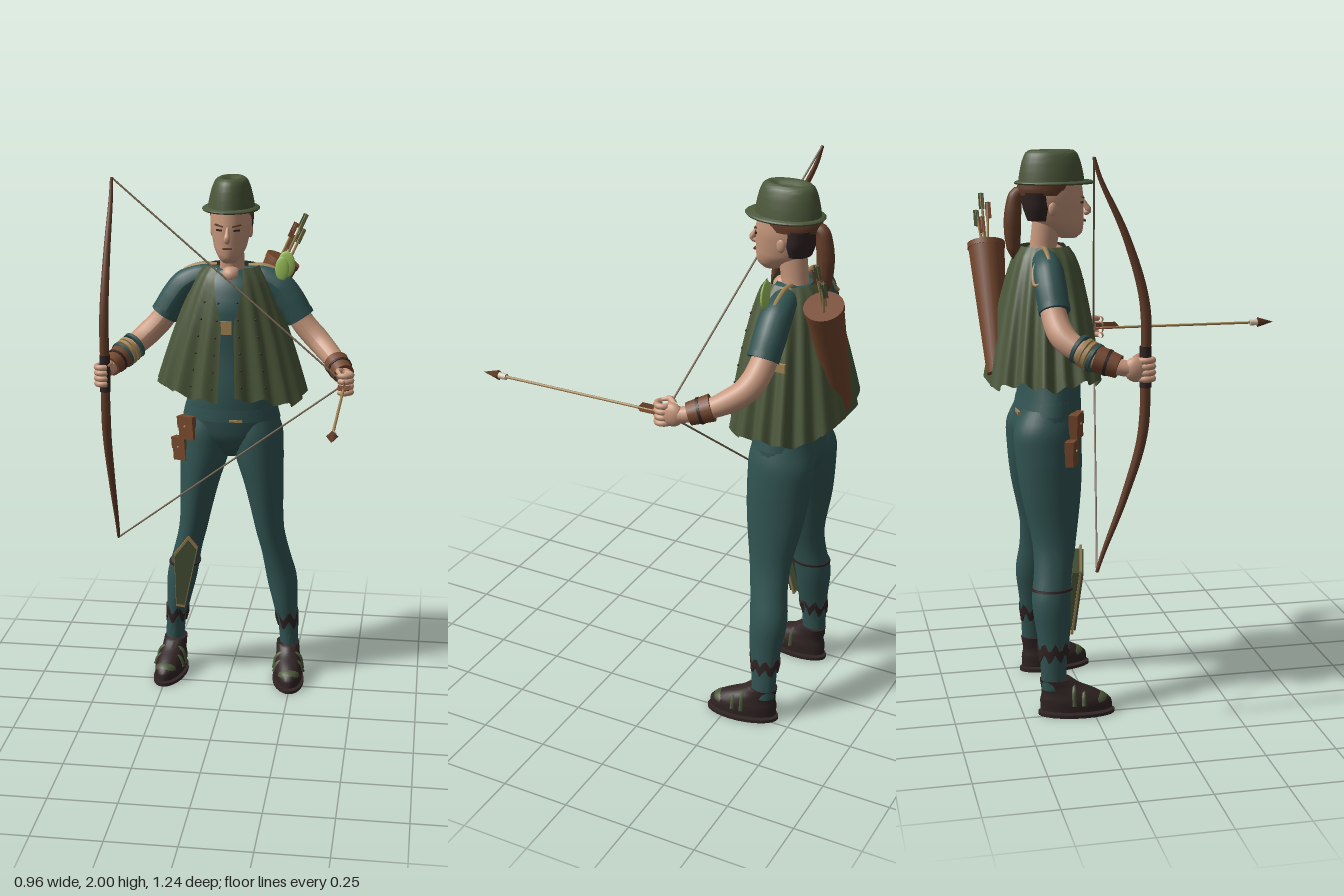
import * as THREE from 'three';
import { toCreasedNormals } from 'three/addons/utils/BufferGeometryUtils.js';

const V = (x, y, z) => new THREE.Vector3(x, y, z);
const mat = (name, color, side = THREE.FrontSide) => {
  const m = new THREE.MeshStandardMaterial({ color, side });
  m.name = name;
  return m;
};

// Smooth stack of horizontal ellipses; rows are [y, centreX, centreZ, radiusX, radiusZ], lowest first
function loft(rows, seg = 28, sub = 4) {
  const centre = new THREE.CatmullRomCurve3(rows.map(r => V(r[1], r[0], r[2])));
  const radius = new THREE.CatmullRomCurve3(rows.map(r => V(r[3], 0, r[4])));
  const n = (rows.length - 1) * sub, pos = [], idx = [];
  for (let i = 0; i <= n; i++) {
    const c = centre.getPoint(i / n), r = radius.getPoint(i / n);
    for (let j = 0; j < seg; j++) {
      const t = j / seg * Math.PI * 2;
      pos.push(c.x + r.x * Math.sin(t), c.y, c.z + r.z * Math.cos(t));
    }
  }
  const end = (n + 1) * seg;
  for (const r of [rows[0], rows[rows.length - 1]]) pos.push(r[1], r[0], r[2]);
  for (let j = 0; j < seg; j++) {
    const k = (j + 1) % seg;
    for (let i = 0; i < n; i++) {
      const a = i * seg + j, b = i * seg + k;
      idx.push(a, b, b + seg, a, b + seg, a + seg);
    }
    idx.push(end, k, j, end + 1, n * seg + j, n * seg + k);
  }
  const g = new THREE.BufferGeometry();
  g.setAttribute('position', new THREE.Float32BufferAttribute(pos, 3));
  g.setIndex(idx);
  return toCreasedNormals(g, 0.9);
}

// Tube along a smooth path whose radius follows a list of values
function limb(points, radii, seg = 16, steps = 28) {
  const curve = new THREE.CatmullRomCurve3(points.map(p => V(...p)));
  const g = new THREE.TubeGeometry(curve, steps, 1, seg), p = g.attributes.position, v = V();
  for (let k = 0; k < p.count; k++) {
    const u = Math.floor(k / (seg + 1)) / steps, f = u * (radii.length - 1);
    const i = Math.min(Math.floor(f), radii.length - 2);
    const r = THREE.MathUtils.lerp(radii[i], radii[i + 1], f - i), c = curve.getPointAt(u);
    v.fromBufferAttribute(p, k).sub(c).multiplyScalar(r).add(c);
    p.setXYZ(k, v.x, v.y, v.z);
  }
  g.computeVertexNormals();
  return g;
}

// Straight rod between two points
function rod(a, b, r0, r1 = r0, seg = 16) {
  const p = V(...a), q = V(...b), d = q.clone().sub(p);
  const g = new THREE.CylinderGeometry(r1, r0, d.length(), seg);
  g.applyQuaternion(new THREE.Quaternion().setFromUnitVectors(V(0, 1, 0), d.normalize()));
  return g.translate(...p.add(q).multiplyScalar(0.5).toArray());
}
const ball = (c, r) => new THREE.SphereGeometry(1, 18, 12).scale(...r).translate(...c);
const box = (c, s) => new THREE.BoxGeometry(...s).translate(...c);

// Point on the pleated cape: t = angle from the front, v = 0 at the collar to 1 at the hem
function capePoint(t, v) {
  const s = Math.sin(t), c = Math.cos(t), w = Math.pow(v, 0.6);
  const fold = 1 + 0.045 * w * Math.sin(t * 17) + 0.02 * w * Math.sin(t * 7 + 1);
  const hem = 1.185 - 0.022 * s + 0.011 * Math.sin(t * 17) + 0.01 * Math.sin(t * 5);
  const rx = 0.1 + 0.182 * Math.pow(v, 0.7), rz = 0.085 + 0.115 * w;
  return V(rx * fold * Math.sign(s) * Math.pow(Math.abs(s), 0.85), 1.668 + (hem - 1.668) * v,
    -0.365 - 0.015 * v + rz * fold * c);
}
function capeGeometry(cols = 170, rows = 16) {
  const pos = [], idx = [];
  for (let i = 0; i <= rows; i++) for (let j = 0; j <= cols; j++) {
    const v = i / rows, a0 = 0.42 - 0.34 * Math.min(1, v * 2.5);
    pos.push(...capePoint(a0 + (Math.PI * 2 - 2 * a0) * j / cols, v).toArray());
    if (i < rows && j < cols) {
      const a = i * (cols + 1) + j, b = a + cols + 1;
      idx.push(a, b, b + 1, a, b + 1, a + 1);
    }
  }
  const g = new THREE.BufferGeometry();
  g.setAttribute('position', new THREE.Float32BufferAttribute(pos, 3));
  g.setIndex(idx);
  g.computeVertexNormals();
  return g;
}

export function createModel() {
  const model = new THREE.Group();
  const teal = mat('teal cloth', 0x315452), green = mat('olive cloth', 0x4b573a, THREE.DoubleSide);
  const skin = mat('skin', 0xc6977c), leather = mat('brown leather', 0x75472d);
  const dark = mat('dark leather', 0x312424), hair = mat('dark brown wood and hair', 0x633d29);
  const tan = mat('tan trim', 0xa48555), leaf = mat('light green leaf', 0x9cc45c, THREE.DoubleSide);
  const cord = mat('cord', 0x7d6c58), pale = mat('pale binding', 0xd6c9ae);
  const add = (name, geo, m, parent = model) => {
    const mesh = new THREE.Mesh(geo, m);
    mesh.name = name;
    parent.add(mesh);
    return mesh;
  };

  // Torso with shirt hem and small fastenings
  add('torso', loft([[0.925, 0, -0.385, 0.035, 0.06], [0.965, 0, -0.382, 0.12, 0.095], [1.03, 0, -0.375, 0.188, 0.118],
    [1.1, 0, -0.362, 0.183, 0.115], [1.2, 0, -0.355, 0.16, 0.11], [1.35, 0, -0.355, 0.14, 0.1],
    [1.5, 0, -0.36, 0.15, 0.108], [1.6, 0, -0.365, 0.14, 0.085], [1.655, 0, -0.37, 0.07, 0.06]]), teal);
  add('shirtHem', loft([[1.083, 0, -0.364, 0.189, 0.12], [1.13, 0, -0.36, 0.178, 0.115]]), teal);
  add('chestBuckle', box([-0.012, 1.45, -0.25], [0.05, 0.05, 0.012]), tan);
  add('sideBuckle', box([0.24, 1.44, -0.43], [0.012, 0.03, 0.035]), tan);
  add('frontPatch', box([0.03, 1.09, -0.243], [0.05, 0.008, 0.008]), tan);
  add('backPatch', box([-0.06, 1.085, -0.48], [0.08, 0.012, 0.008]), tan);

  // Legs, torn cuffs and shoes
  for (const s of [1, -1]) {
    const row = ([y, x, ...r]) => [y, s * x, ...r];
    add('leg', loft([[0.1, 0.235, -0.39, 0.036, 0.045], [0.2, 0.228, -0.39, 0.038, 0.048], [0.3, 0.215, -0.387, 0.048, 0.06],
      [0.42, 0.198, -0.39, 0.06, 0.07], [0.52, 0.176, -0.378, 0.055, 0.07], [0.62, 0.152, -0.37, 0.056, 0.078],
      [0.8, 0.127, -0.375, 0.075, 0.108], [0.92, 0.108, -0.378, 0.094, 0.119], [1.01, 0.098, -0.38, 0.101, 0.121],
      [1.1, 0.09, -0.37, 0.085, 0.095]].map(row)), teal);
    const cuff = loft([[0.218, 0.227, -0.39, 0.042, 0.053], [0.258, 0.221, -0.389, 0.047, 0.059]].map(row), 28, 1);
    const p = cuff.attributes.position;
    for (let i = 0; i < p.count; i++)
      p.setY(i, p.getY(i) + 0.018 * Math.sin(7 * Math.atan2(p.getX(i) - s * 0.224, p.getZ(i) + 0.39)));
    add('tornCuff', cuff, dark);
    const shoe = new THREE.Group();
    shoe.name = 'shoe';
    shoe.position.set(s * 0.237, 0, -0.31);
    shoe.rotation.y = s * 0.12;
    add('sole', loft([[0, 0, 0, 0.062, 0.138], [0.012, 0, 0, 0.062, 0.138]]), dark, shoe);
    add('upper', loft([[0.02, 0, 0, 0.054, 0.13], [0.05, 0, -0.003, 0.056, 0.128], [0.085, 0, -0.025, 0.05, 0.1],
      [0.11, 0, -0.055, 0.046, 0.072], [0.135, 0, -0.075, 0.045, 0.056]]), dark, shoe);
    add('toePatch', ball([0, 0.049, 0.062], [0.045, 0.033, 0.055]), green, shoe);
    for (const [z, h] of [[0.025, 0.094], [-0.01, 0.113]])
      add('shoeStrap', limb([[-0.058, 0.045, z], [-0.042, h - 0.012, z], [0, h, z], [0.042, h - 0.012, z], [0.058, 0.045, z]],
        [0.008, 0.008], 6), green, shoe);
    model.add(shoe);
  }

  // Cape with rivets along its front edges
  add('cape', capeGeometry(), green);
  for (const s of [1, -1]) for (const t of [0.16, 0.5]) for (let i = 0; i < 6; i++) {
    const q = capePoint(s * t, 0.25 + i * 0.13);
    add('rivet', ball([q.x, q.y, q.z + 0.001], [0.004, 0.004, 0.004]), dark);
  }

  // Arms, sleeves and hands
  for (const s of [1, -1]) {
    const m = pts => pts.map(([x, y, z]) => [s * x, y, z]);
    add('sleeve', limb(m([[0.04, 1.63, -0.378], [0.12, 1.618, -0.382], [0.18, 1.585, -0.382], [0.222, 1.53, -0.38], [0.258, 1.472, -0.376]]),
      [0.03, 0.046, 0.055, 0.057, 0.054]), teal);
    add('sleeveHem', rod(...m([[0.25, 1.485, -0.377], [0.261, 1.468, -0.376]]), 0.056, 0.055, 20), teal);
    add('shoulderSeam', limb(m([[0.06, 1.663, -0.382], [0.12, 1.664, -0.382], [0.18, 1.641, -0.382], [0.235, 1.592, -0.381]]),
      [0.009, 0.009], 6), tan);
    add('arm', limb(m([[0.21, 1.55, -0.38], [0.268, 1.452, -0.378], [0.333, 1.385, -0.355], [0.395, 1.335, -0.28], [0.44, 1.3, -0.18], [0.448, 1.295, -0.14]]),
      [0.044, 0.045, 0.046, 0.041, 0.031, 0.026]), skin);
    add('bracer', rod(...m([[0.405, 1.328, -0.26], [0.438, 1.303, -0.19]]), 0.048, 0.04), leather);
    add('bracerBand', rod(...m([[0.42, 1.317, -0.229], [0.424, 1.314, -0.22]]), 0.047, 0.046), dark);
    // Palm with fingers curled around the grip
    add('palm', ball([s * 0.452, 1.295, -0.135], [0.026, 0.043, 0.042]), skin);
    for (let i = 0; i < 4; i++) {
      const f = new THREE.TorusGeometry(0.024, 0.011, 8, 14, 4.6).rotateX(Math.PI / 2).rotateY(s > 0 ? 2.2 : -0.9);
      add('finger', f.translate(s * 0.447, 1.262 + i * 0.021, -0.1), skin);
    }
    add('thumb', limb(m([[0.44, 1.325, -0.14], [0.422, 1.335, -0.11], [0.43, 1.33, -0.085]]), [0.012, 0.012, 0.006], 8, 10), skin);
  }
  // Bands on the bow arm and trim on its sleeve
  [[0.366, 1.358, -0.315, teal], [0.38, 1.347, -0.298, tan], [0.39, 1.339, -0.285, tan], [0.4, 1.332, -0.27, teal]].forEach(([x, y, z, m]) =>
    add('armBand', rod([-x, y, z], [-x - 0.007, y - 0.005, z + 0.009], 0.053, 0.052, 20), m));
  add('sleeveTrim', limb([[-0.245, 1.575, -0.395], [-0.228, 1.555, -0.435], [-0.2, 1.57, -0.438], [-0.172, 1.61, -0.43], [-0.15, 1.645, -0.4]],
    [0.006, 0.006], 6), tan);

  // Head, face and hair
  add('neck', loft([[1.6, 0, -0.375, 0.06, 0.055], [1.66, 0, -0.37, 0.046, 0.048], [1.76, 0, -0.355, 0.045, 0.052]]), skin);
  add('chest', ball([0, 1.635, -0.33], [0.038, 0.035, 0.04]), skin);
  add('head', loft([[1.692, 0, -0.28, 0.022, 0.028], [1.71, 0, -0.287, 0.04, 0.056], [1.745, 0, -0.313, 0.06, 0.088],
    [1.785, 0, -0.325, 0.069, 0.101], [1.84, 0, -0.335, 0.077, 0.11], [1.9, 0, -0.34, 0.075, 0.108]]), skin);
  add('nose', limb([[0, 1.835, -0.232], [0, 1.805, -0.216], [0, 1.784, -0.207], [0, 1.776, -0.224]], [0.004, 0.008, 0.012, 0.008], 10, 12), skin);
  add('mouth', box([0, 1.752, -0.223], [0.034, 0.006, 0.009]), hair);
  for (const s of [1, -1]) {
    const eye = add('eye', box([0, 0, 0], [0.024, 0.007, 0.009]), dark);
    eye.position.set(s * 0.031, 1.818, -0.236);
    eye.rotation.y = s * 0.35;
    const brow = add('eyebrow', box([0, 0, 0], [0.034, 0.005, 0.009]), hair);
    brow.position.set(s * 0.032, 1.835, -0.234);
    brow.rotation.set(0, s * 0.35, s * 0.2);
    add('ear', ball([s * 0.07, 1.8, -0.345], [0.01, 0.025, 0.016]), skin);
  }
  add('hair', loft([[1.845, 0, -0.355, 0.079, 0.1], [1.87, 0, -0.352, 0.081, 0.108], [1.9, 0, -0.345, 0.08, 0.108]]), hair);
  add('shavedHair', loft([[1.755, 0, -0.38, 0.055, 0.045], [1.8, 0, -0.385, 0.074, 0.055], [1.855, 0, -0.39, 0.079, 0.06]]), dark);
  add('ponytail', limb([[0, 1.85, -0.43], [0, 1.85, -0.46], [0, 1.79, -0.475], [0, 1.7, -0.478], [0, 1.61, -0.47]],
    [0.02, 0.026, 0.03, 0.031, 0.029, 0.024, 0.004]), hair);

  // Hat with tapered, creased crown
  add('hatBrim', loft([[1.882, 0, -0.328, 0.104, 0.138], [1.887, 0, -0.328, 0.107, 0.142], [1.893, 0, -0.328, 0.1, 0.133]]), green);
  add('hatCrown', loft([[1.885, 0, -0.338, 0.088, 0.118], [1.92, 0, -0.338, 0.082, 0.113], [1.96, 0, -0.338, 0.072, 0.104],
    [1.988, 0, -0.338, 0.06, 0.092], [1.999, 0, -0.338, 0.042, 0.074], [1.982, 0, -0.338, 0.008, 0.04]]), green);

  // Bow and drawn string
  const tips = [[-0.435, 1.997, -0.27], [-0.435, 0.59, -0.27]], nock = [0.447, 1.29, -0.105];
  add('bow', limb([tips[0], [-0.435, 1.93, -0.25], [-0.437, 1.74, -0.165], [-0.44, 1.52, -0.103], [-0.44, 1.3, -0.1],
    [-0.44, 1.07, -0.11], [-0.437, 0.86, -0.17], [-0.435, 0.65, -0.25], tips[1]],
  [0.006, 0.011, 0.015, 0.018, 0.017, 0.018, 0.015, 0.011, 0.006], 10, 64), hair);
  add('bowGrip', rod([-0.44, 1.23, -0.1], [-0.44, 1.37, -0.1], 0.02), dark);
  for (const t of tips) add('bowString', rod(t, nock, 0.0035, 0.0035, 6), cord);

  // Drawn arrow with tapered vanes
  add('arrowShaft', rod([0.447, 1.29, -0.11], [0.447, 1.29, 0.55], 0.005, 0.005, 8), tan);
  add('arrowBinding', rod([0.447, 1.29, 0.525], [0.447, 1.29, 0.56], 0.012, 0.012, 8), pale);
  add('arrowHead', rod([0.447, 1.29, 0.555], [0.447, 1.29, 0.62], 0.02, 0, 4), hair);
  const vane = new THREE.Shape([[0, 0], [0.07, 0], [0.05, 0.022], [-0.03, 0.022], [-0.03, 0]].map(p => new THREE.Vector2(...p)));
  for (const a of [0, Math.PI / 2, -Math.PI / 2])
    add('arrowFletching', new THREE.ExtrudeGeometry(vane, { depth: 0.003, bevelEnabled: false })
      .translate(0, 0, -0.0015).rotateY(-Math.PI / 2).rotateZ(a).translate(0.447, 1.29, -0.07), leather);

  // Quiver with spare arrows
  add('quiver', rod([-0.03, 1.22, -0.545], [0.172, 1.655, -0.55], 0.038, 0.066, 24), leather);
  add('quiverRim', rod([0.167, 1.643, -0.55], [0.175, 1.66, -0.55], 0.068, 0.068, 24), leather);
  [[0.26, 1.83, -0.555], [0.225, 1.8, -0.535], [0.25, 1.77, -0.575], [0.21, 1.75, -0.56]].forEach(([x, y, z], i) => {
    add('spareArrow', rod([x - 0.09, y - 0.2, -0.55], [x, y, z], 0.005, 0.005, 8), tan);
    for (const a of [0, Math.PI / 2])
      add('spareFletching', box([0, 0, 0], [0.02, 0.06, 0.003]).rotateY(a).rotateZ(-0.42).translate(x - 0.012, y - 0.026, z), i % 2 ? leather : green);
  });

  // Leaves on the left shoulder
  add('shoulderLeaf', ball([0.205, 1.675, -0.355], [0.033, 0.05, 0.008]), leaf);
  add('shoulderLeaf', ball([0.19, 1.66, -0.342], [0.026, 0.045, 0.007]), leaf);

  // Hip pouches
  for (const [x, y, z, w] of [[-0.16, 1.045, -0.288, 0.068], [-0.19, 0.955, -0.31, 0.058]]) {
    const pouch = new THREE.Group();
    pouch.name = 'hipPouch';
    pouch.position.set(x, y, z);
    pouch.rotation.set(0, -0.5, 0.08);
    add('pouchBody', box([0, 0, 0], [w, 0.09, 0.03]), leather, pouch);
    add('pouchFlap', box([0, 0.024, 0.002], [w + 0.005, 0.045, 0.033]), leather, pouch);
    add('pouchButton', ball([0, 0.008, 0.02], [0.005, 0.005, 0.004]), tan, pouch);
    model.add(pouch);
  }

  // Knife sheath strapped to the right shin
  const outline = [[-0.218, 0.08], [-0.158, 0.163], [-0.122, 0.115], [-0.182, -0.163], [-0.217, -0.158]];
  const sheath = new THREE.Group();
  sheath.name = 'knifeSheath';
  sheath.position.set(0, 0.45, -0.325);
  sheath.rotation.x = 0.145;
  const plate = (k, depth, z) => new THREE.ExtrudeGeometry(new THREE.Shape(outline.map(([x, y]) =>
    new THREE.Vector2(-0.18 + (x + 0.18) * k, y * k))), { depth, bevelEnabled: false }).translate(0, 0, z);
  add('sheathEdge', plate(1, 0.008, 0.024), tan, sheath);
  add('sheathBody', plate(0.9, 0.04, 0), green, sheath);
  model.add(sheath);
  add('sheathStrap', loft([[0.458, -0.19, -0.385, 0.063, 0.076], [0.466, -0.188, -0.384, 0.063, 0.076]]), dark);
  return model;
}
